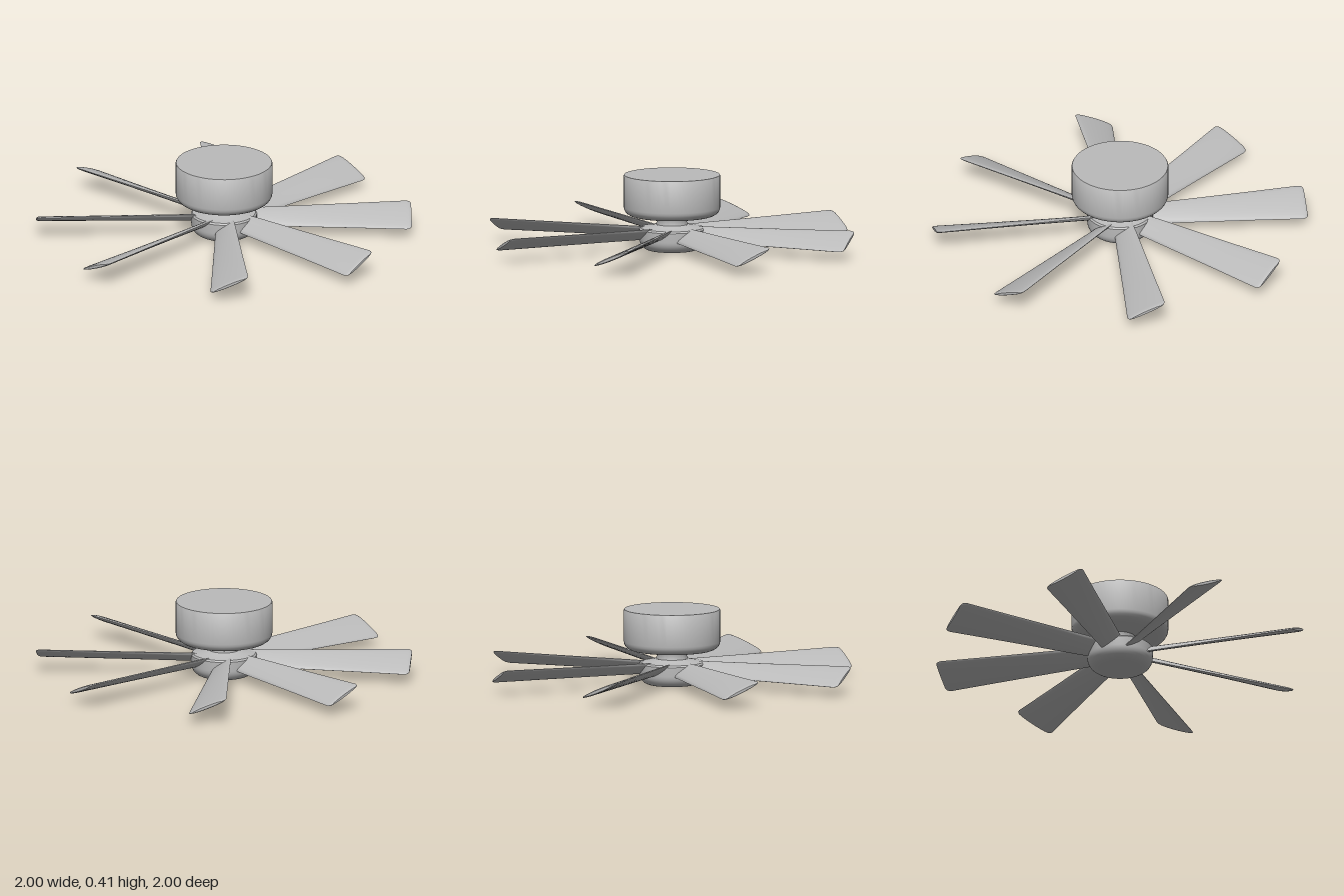
import * as THREE from 'three';
import { toCreasedNormals } from 'three/addons/utils/BufferGeometryUtils.js';

const paint = new THREE.MeshStandardMaterial({ color: 0xbababa });
paint.name = 'grey paint';

function lathe(name, profile) {
  const pts = profile.map(([r, y]) => new THREE.Vector2(r, y));
  const mesh = new THREE.Mesh(toCreasedNormals(new THREE.LatheGeometry(pts, 64), 0.6), paint);
  mesh.name = name;
  return mesh;
}

// Quarter arc of profile points around (cx, cy), angles in degrees
function arc(cx, cy, rx, ry, from, to, steps = 6) {
  return Array.from({ length: steps + 1 }, (_, i) => {
    const a = THREE.MathUtils.degToRad(from + (to - from) * i / steps);
    return [cx + rx * Math.cos(a), cy + ry * Math.sin(a)];
  });
}

// Twisted, widening blade along +z, lofted from elliptical sections
function bladeGeometry() {
  // distance, horizontal half width, vertical half height, half thickness
  const sections = [
    [0.09, 0.046, 0.032, 0.012], [0.25, 0.056, 0.034, 0.012],
    [0.45, 0.068, 0.036, 0.012], [0.7, 0.083, 0.039, 0.012],
    [0.97, 0.1, 0.043, 0.012], [0.985, 0.098, 0.042, 0.0115],
    [0.995, 0.092, 0.039, 0.01], [1.0, 0.08, 0.034, 0.007],
  ];
  const n = 28, pos = [], idx = [];
  for (const [z, hx, hy, t] of sections) {
    const len = Math.hypot(hx, hy);
    for (let j = 0; j < n; j++) {
      const a = j / n * Math.PI * 2, c = Math.cos(a), s = Math.sin(a) * t;
      pos.push(hx * c - hy / len * s, 0.095 + hy * c + hx / len * s, z);
    }
  }
  for (let i = 0; i < sections.length - 1; i++) {
    for (let j = 0; j < n; j++) {
      const a = i * n + j, b = i * n + (j + 1) % n;
      idx.push(a, b, b + n, a, b + n, a + n);
    }
  }
  // Tip and root caps
  const last = (sections.length - 1) * n;
  for (let j = 1; j < n - 1; j++) {
    idx.push(last, last + j, last + j + 1);
    idx.push(0, j + 1, j);
  }
  const g = new THREE.BufferGeometry();
  g.setAttribute('position', new THREE.Float32BufferAttribute(pos, 3));
  g.setIndex(idx);
  return toCreasedNormals(g, 0.8);
}

export function createModel() {
  const fan = new THREE.Group();
  fan.name = 'ceilingFan';

  // Motor housing with a rounded lower edge
  fan.add(lathe('motorHousing', [
    [0, 0.182], [0.08, 0.182], [0.17, 0.184], ...arc(0.2, 0.235, 0.058, 0.048, -90, 0),
    [0.258, 0.403], [0.255, 0.408], [0, 0.408],
  ]));

  // Short neck between housing and hub
  fan.add(lathe('neck', [[0.09, 0.12], [0.082, 0.145], [0.08, 0.17], [0.088, 0.19]]));

  // Rounded hub holding the blades
  fan.add(lathe('hub', [
    [0, 0], [0.09, 0.001], ...arc(0.115, 0.065, 0.06, 0.062, -90, 0, 8),
    [0.175, 0.115], [0.168, 0.124], [0.1, 0.136], [0.09, 0.142], [0, 0.142],
  ]));

  // Eight blades
  const geometry = bladeGeometry();
  for (let i = 0; i < 8; i++) {
    const blade = new THREE.Mesh(geometry, paint);
    blade.name = `blade${i + 1}`;
    blade.rotation.y = i * Math.PI / 4;
    fan.add(blade);
  }
  return fan;
}
